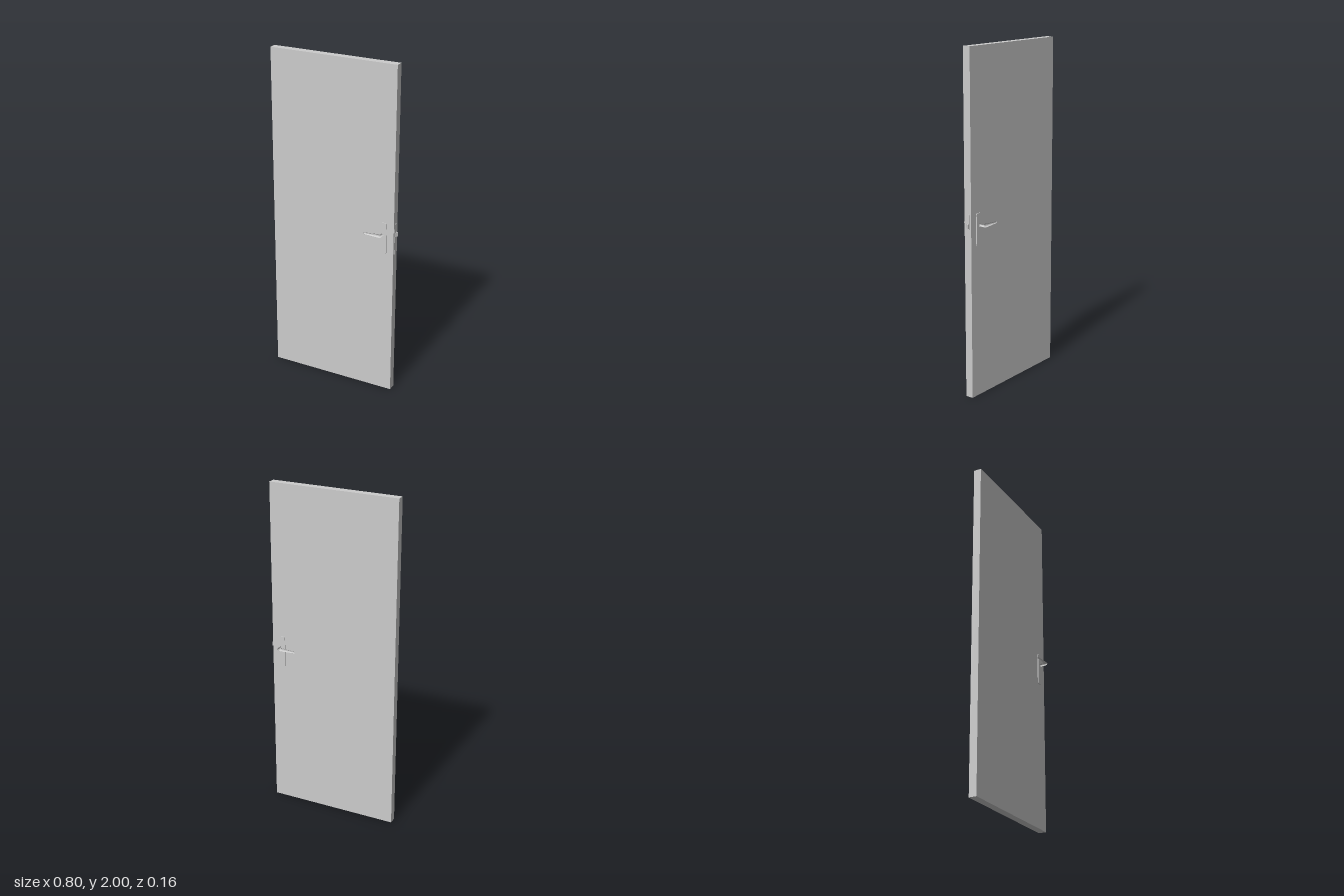
import * as THREE from 'three';
import { toCreasedNormals } from 'three/addons/utils/BufferGeometryUtils.js';

const MID_Z = -0.001, HALF = 0.023, HANDLE_Y = 1.013;
const grey = new THREE.MeshStandardMaterial({ color: 0xcccccc });

function add(parent, name, geometry, x = 0, y = 0, z = 0) {
  const mesh = new THREE.Mesh(geometry, grey);
  mesh.name = name;
  mesh.position.set(x, y, z);
  parent.add(mesh);
  return mesh;
}

// Flat plate with rounded corners, centred on the origin, facing z
function plateGeometry(w, h, r, depth) {
  const x = w / 2, y = h / 2, s = new THREE.Shape();
  s.absarc(x - r, y - r, r, 0, Math.PI / 2);
  s.absarc(-x + r, y - r, r, Math.PI / 2, Math.PI);
  s.absarc(-x + r, -y + r, r, Math.PI, Math.PI * 1.5);
  s.absarc(x - r, -y + r, r, Math.PI * 1.5, Math.PI * 2);
  const g = new THREE.ExtrudeGeometry(s, { depth, bevelEnabled: false, curveSegments: 6 });
  return g.translate(0, 0, -depth / 2);
}

// Cranked lever lofted through oval rings: [inner x, inner z, outer x, outer z, half height]
function leverGeometry(side) {
  const rings = [
    [0.316, 0.022, 0.331, 0.022, 0.0075],
    [0.316, 0.053, 0.331, 0.070, 0.0085],
    [0.314, 0.056, 0.324, 0.079, 0.0105],
    [0.306, 0.058, 0.310, 0.0795, 0.0105],
    [0.220, 0.067, 0.220, 0.074, 0.005],
  ];
  const n = 12, pos = [], index = [];
  const tri = (a, b, c) => (side > 0 ? index.push(a, b, c) : index.push(a, c, b));
  for (const [ix, iz, ox, oz, h] of rings) {
    for (let i = 0; i < n; i++) {
      const a = (i / n) * Math.PI * 2, t = (1 + Math.cos(a)) / 2;
      pos.push(ix + (ox - ix) * t, h * Math.sin(a), side * (iz + (oz - iz) * t));
    }
  }
  for (let r = 0; r < rings.length - 1; r++) {
    for (let i = 0; i < n; i++) {
      const a = r * n + i, b = r * n + (i + 1) % n;
      tri(a, a + n, b);
      tri(b, a + n, b + n);
    }
  }
  // End cap at the tip
  const tip = (rings.length - 1) * n;
  for (let i = 1; i < n - 1; i++) tri(tip, tip + i + 1, tip + i);
  const g = new THREE.BufferGeometry();
  g.setAttribute('position', new THREE.Float32BufferAttribute(pos, 3));
  g.setIndex(index);
  return toCreasedNormals(g, Math.PI / 5);
}

export function createModel() {
  const door = new THREE.Group();
  door.name = 'door';

  // Door slab
  add(door, 'doorLeaf', new THREE.BoxGeometry(0.784, 2, HALF * 2), -0.006, 1, MID_Z);

  // Handle set on each face
  for (const side of [1, -1]) {
    const set = new THREE.Group();
    set.name = side > 0 ? 'frontHandle' : 'backHandle';
    set.position.z = MID_Z;
    add(set, 'backplate', plateGeometry(0.037, 0.19, 0.006, 0.006), 0.3235, 0.985, side * (HALF + 0.002));
    // Lever winding is chosen so its faces point outwards on both sides
    add(set, 'lever', leverGeometry(side), 0, HANDLE_Y, 0);
    door.add(set);
  }

  // Lock plate set on the closing edge
  const lockPlate = plateGeometry(0.022, 0.19, 0.003, 0.004).rotateY(Math.PI / 2);
  add(door, 'lockPlate', lockPlate, 0.386, 0.985, MID_Z);

  // Wedge-shaped latch bolt
  const wedge = new THREE.Shape([
    new THREE.Vector2(0.380, -0.012),
    new THREE.Vector2(0.387, -0.012),
    new THREE.Vector2(0.398, 0.009),
    new THREE.Vector2(0.380, 0.009),
  ]);
  const bolt = new THREE.ExtrudeGeometry(wedge, { depth: 0.026, bevelEnabled: false });
  add(door, 'latchBolt', bolt.rotateX(-Math.PI / 2), 0, 1.0, MID_Z);

  return door;
}
